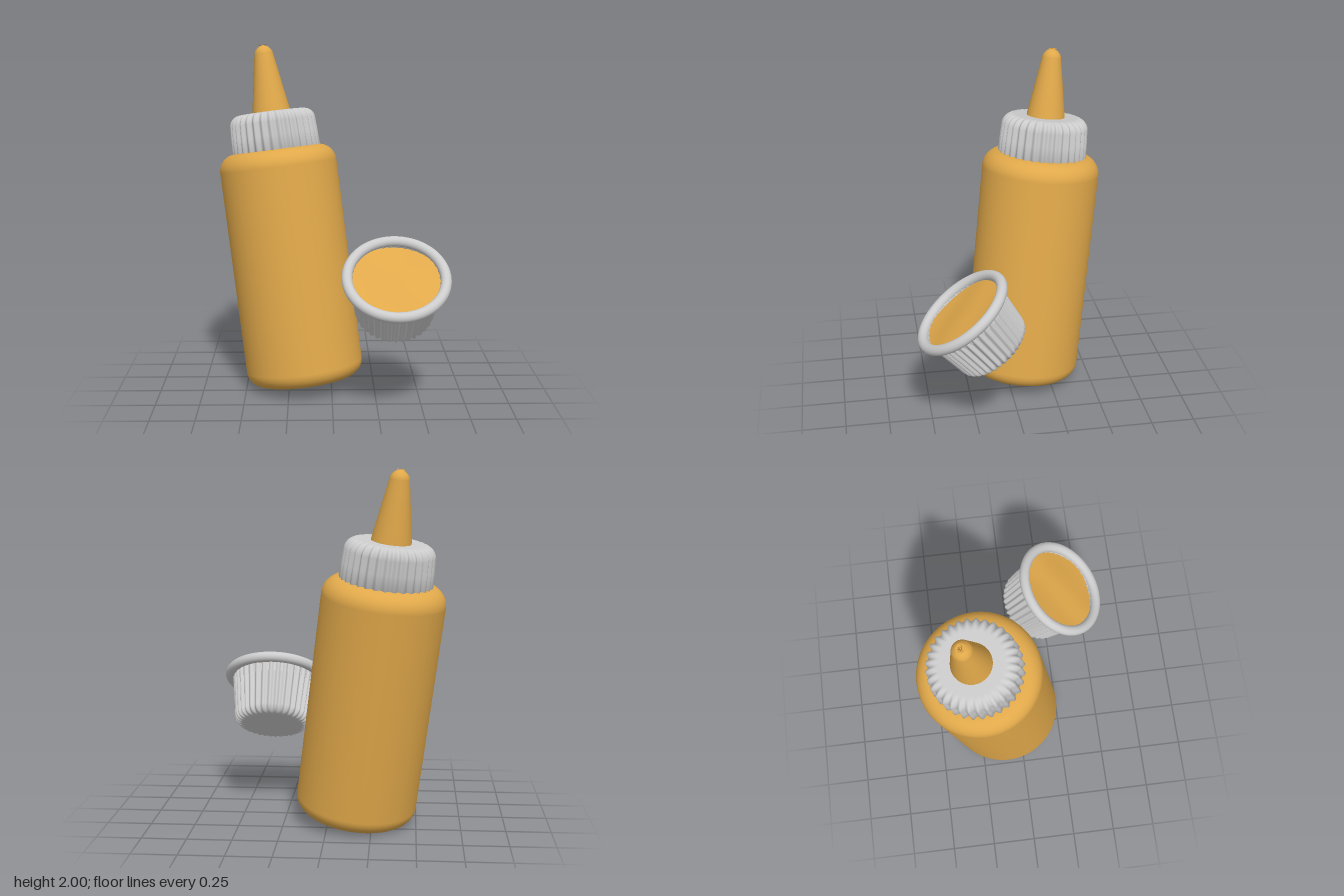
import * as THREE from 'three';
import { mergeVertices } from 'three/addons/utils/BufferGeometryUtils.js';

const gold = new THREE.MeshStandardMaterial({ color: 0xe0a84a, side: THREE.DoubleSide });
const grey = new THREE.MeshStandardMaterial({ color: 0xcccccc, side: THREE.DoubleSide });

function add(parent, name, geometry, material) {
  const mesh = new THREE.Mesh(geometry, material);
  mesh.name = name;
  parent.add(mesh);
  return mesh;
}

// Profile through [radius, height] corners, each rounded by its optional third value
function roundedProfile(corners) {
  const v = corners.map(([r, y]) => new THREE.Vector2(r, y));
  const path = new THREE.Path().moveTo(v[0].x, v[0].y);
  for (let i = 1; i < v.length; i++) {
    const fillet = corners[i][2] || 0;
    if (!fillet) { path.lineTo(v[i].x, v[i].y); continue; }
    const a = v[i - 1].clone().sub(v[i]).setLength(fillet).add(v[i]);
    const b = v[i + 1].clone().sub(v[i]).setLength(fillet).add(v[i]);
    const k = 0.55;
    path.lineTo(a.x, a.y);
    const c1 = a.clone().lerp(v[i], k), c2 = b.clone().lerp(v[i], k);
    path.bezierCurveTo(c1.x, c1.y, c2.x, c2.y, b.x, b.y);
  }
  return path.getPoints(8);
}

// Lathe whose wall ripples into ribs, fading out toward the axis
function ribbedLathe(points, ribs, depth, fadeFrom, fadeTo) {
  const geo = new THREE.LatheGeometry(points, ribs * 8);
  const p = geo.attributes.position;
  for (let i = 0; i < p.count; i++) {
    const x = p.getX(i), z = p.getZ(i), r = Math.hypot(x, z);
    if (r < 1e-6) continue;
    const weight = THREE.MathUtils.smoothstep(r, fadeFrom, fadeTo);
    const s = 1 + depth * weight * Math.cos(ribs * Math.atan2(z, x)) / r;
    p.setX(i, x * s);
    p.setZ(i, z * s);
  }
  geo.deleteAttribute('uv');
  geo.deleteAttribute('normal');
  const merged = mergeVertices(geo, 1e-5);
  merged.computeVertexNormals();
  return merged;
}

// Squeeze bottle, built upright along its own axis
function createBottle() {
  const bottle = new THREE.Group();
  bottle.name = 'bottle';
  add(bottle, 'bottleBody', new THREE.LatheGeometry(roundedProfile([
    [0, 0], [0.342, 0, 0.085], [0.342, 1.368, 0.1], [0, 1.368],
  ]), 96), gold);
  add(bottle, 'ribbedCap', ribbedLathe(roundedProfile([
    [0.2, 1.345], [0.251, 1.345], [0.246, 1.45], [0.238, 1.587, 0.06], [0.17, 1.587], [0.08, 1.587],
  ]), 32, 0.009, 0.13, 0.22), grey);
  add(bottle, 'nozzle', new THREE.LatheGeometry(roundedProfile([
    [0.112, 1.57], [0.109, 1.6], [0.046, 1.975, 0.05], [0.025, 1.975], [0, 1.975],
  ]), 48), gold);
  return bottle;
}

// Dipping cup, with its rim at local y = 0
function createCup() {
  const cup = new THREE.Group();
  cup.name = 'dippingCup';
  add(cup, 'ribbedCupWall', ribbedLathe(roundedProfile([
    [0, -0.315], [0.15, -0.315], [0.212, -0.315, 0.045], [0.23, -0.16], [0.25, 0],
  ]), 36, 0.008, 0.14, 0.2), grey);
  const rim = add(cup, 'rolledRim', new THREE.TorusGeometry(0.272, 0.03, 20, 96), grey);
  rim.rotation.x = Math.PI / 2;
  add(cup, 'innerWall', new THREE.CylinderGeometry(0.246, 0.238, 0.07, 72, 1, true), grey).position.y = -0.035;

  // Gently uneven sauce surface
  const points = Array.from({ length: 13 }, (_, i) => new THREE.Vector2(0.246 * (1 - i / 12), 0));
  const geo = new THREE.LatheGeometry(points, 72);
  const p = geo.attributes.position;
  for (let i = 0; i < p.count; i++) {
    const x = p.getX(i), z = p.getZ(i);
    p.setY(i, -0.014 + 0.007 * Math.sin(14 * x + 1) * Math.cos(13 * z - 0.5));
  }
  geo.deleteAttribute('uv');
  geo.deleteAttribute('normal');
  const sauce = mergeVertices(geo, 1e-5);
  sauce.computeVertexNormals();
  add(cup, 'sauce', sauce, gold);
  return cup;
}

export function createModel() {
  const model = new THREE.Group();
  model.name = 'sauceBottleAndCup';

  // The bottle leans toward its right and back
  const bottle = createBottle();
  bottle.position.set(-0.15, 0.047, -0.085);
  bottle.quaternion.setFromUnitVectors(
    new THREE.Vector3(0, 1, 0), new THREE.Vector3(-0.127, 1, -0.114).normalize());

  // The cup tips its opening forward
  const cup = createCup();
  cup.position.set(0.35, 0.75, 0.325);
  cup.rotation.x = 0.64;

  model.add(bottle, cup);
  return model;
}
